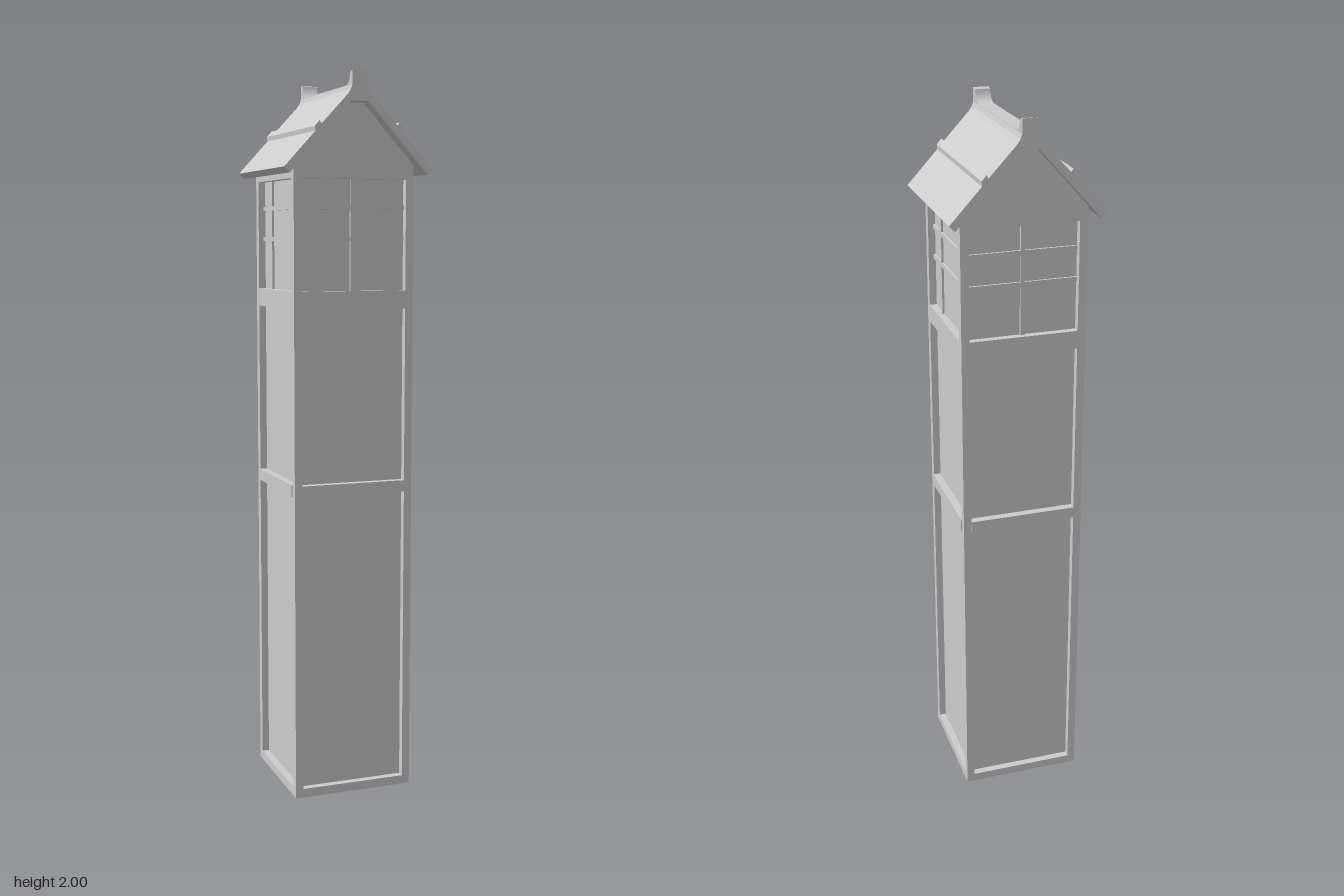
import * as THREE from 'three';

const H = 0.172;        // half width of the tower
const DEPTH = 0.02;     // depth of the frames in front of the panels
const OPEN = 0.15;      // half width of each opening
const ROWS = [[0.025, 1.37], [1.42, 1.72]];

export function createModel() {
  const model = new THREE.Group();
  const stone = new THREE.MeshStandardMaterial({ color: 0xcccccc });
  stone.name = 'lightGrey';

  const add = (parent, name, geometry, x = 0, y = 0, z = 0) => {
    const mesh = new THREE.Mesh(geometry, stone);
    mesh.name = name;
    mesh.position.set(x, y, z);
    parent.add(mesh);
    return mesh;
  };
  const box = (parent, name, w, h, d, x, y, z) =>
    add(parent, name, new THREE.BoxGeometry(w, h, d), x, y, z);
  const extrude = (shape, depth) =>
    new THREE.ExtrudeGeometry(shape, { depth, bevelEnabled: false, curveSegments: 8 });
  const polygon = (points) => new THREE.Shape(points.map(([x, y]) => new THREE.Vector2(x, y)));
  const rect = (w, y0, y1) => [[-w, y0], [w, y0], [w, y1], [-w, y1]];

  // Solid core whose faces are the recessed panels
  const core = 2 * (H - DEPTH);
  box(model, 'towerCore', core, 1.73, core, 0, 0.865, 0);

  // Four framed sides; the x sides sit between the front and back frames
  for (let i = 0; i < 4; i++) {
    const side = new THREE.Group();
    side.name = ['frontSide', 'leftSide', 'backSide', 'rightSide'][i];
    side.rotation.y = i * Math.PI / 2;
    model.add(side);
    const between = i % 2 === 1;

    const frame = polygon(rect(between ? H - DEPTH : H, 0, 1.74));
    for (const [y0, y1] of ROWS) frame.holes.push(polygon(rect(OPEN, y0, y1)));
    add(side, 'frame', extrude(frame, DEPTH), 0, 0, H - DEPTH);

    // Rail between the two tall panels
    box(side, 'middleRail', 2 * OPEN, 0.032, DEPTH + 0.002, 0, 0.875, H - DEPTH / 2 + 0.001);

    // Window bars
    const barZ = H - DEPTH + 0.003;
    box(side, 'uprightBar', 0.012, 0.3, 0.006, between ? -0.072 : 0, 1.57, barZ);
    for (const y of [1.56, 1.645]) box(side, 'crossBar', 2 * OPEN, 0.012, 0.006, 0, y, barZ);
  }

  // Gable walls under the roof
  const gable = polygon([[-H, 1.73], [H, 1.73], [H, 1.76], [0.025, 1.922], [-0.025, 1.922], [-H, 1.76]]);
  add(model, 'gableWalls', extrude(gable, 2 * H), 0, 0, -H);

  // Roof with a batten on each slope and a flare up to the ridge
  const outer = [
    [0.195, 1.732], [0.211, 1.747], [0.125, 1.84], [0.126, 1.853], [0.113, 1.868],
    [0.108, 1.859], [0.034, 1.938], [0.026, 1.95], [0.022, 1.962],
  ];
  const mirror = (points) => points.map(([x, y]) => [-x, y]).reverse();
  const roof = polygon([[0.025, 1.92], ...outer, ...mirror(outer), [-0.025, 1.92]]);
  add(model, 'roof', extrude(roof, 0.426), 0, 0, -0.213);

  // Ridge cap with upturned ends
  const ridge = new THREE.Shape();
  ridge.moveTo(-0.213, 1.93);
  ridge.lineTo(0.213, 1.93);
  ridge.lineTo(0.213, 2);
  ridge.lineTo(0.196, 1.997);
  ridge.quadraticCurveTo(0.19, 1.965, 0.16, 1.964);
  ridge.lineTo(-0.16, 1.964);
  ridge.quadraticCurveTo(-0.19, 1.965, -0.196, 1.997);
  ridge.lineTo(-0.213, 2);
  ridge.closePath();
  const ridgeGeometry = extrude(ridge, 0.043);
  ridgeGeometry.translate(0, 0, -0.0215);
  ridgeGeometry.rotateY(Math.PI / 2);
  add(model, 'ridgeCap', ridgeGeometry);

  return model;
}
